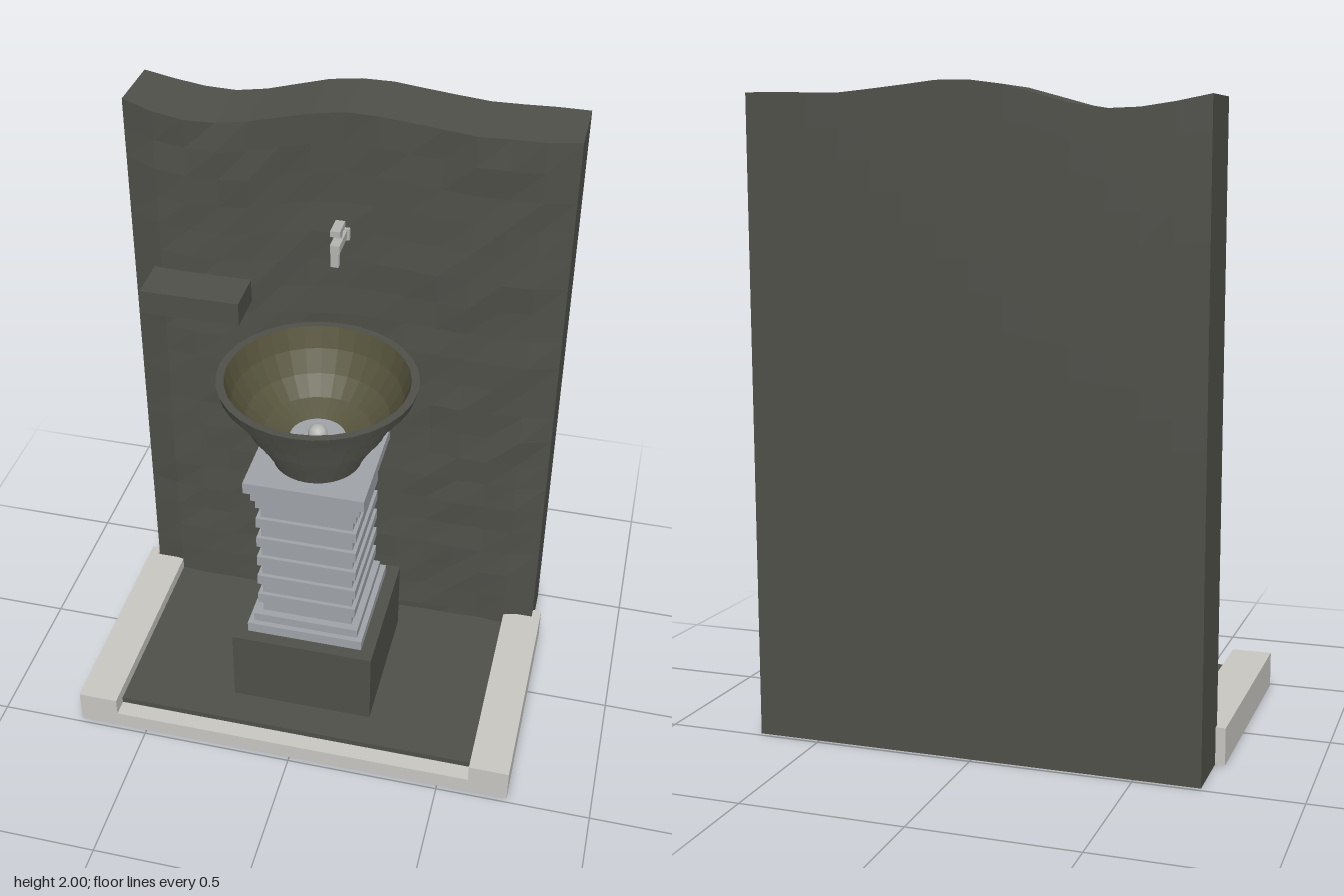
import * as THREE from 'three';

const mat = (name, color, side = THREE.FrontSide) => {
  const m = new THREE.MeshStandardMaterial({ color, side });
  m.name = name;
  return m;
};

// Faceted copy of a geometry
function facet(geo) {
  const g = geo.toNonIndexed();
  g.computeVertexNormals();
  return g;
}

export function createModel() {
  const root = new THREE.Group();
  root.name = 'wallFountain';
  const stone = mat('dark stone', 0x50504a);
  const kerb = mat('pale kerb stone', 0xc8c7c2);
  const slate = mat('grey slate', 0xa0a4a9);
  const glaze = mat('olive glaze', 0x56543c);
  const metal = mat('tap metal', 0xb4b4b2);

  const add = (parent, name, geo, material) => {
    const m = new THREE.Mesh(geo, material);
    m.name = name;
    parent.add(m);
    return m;
  };
  // Box given by its limits on each axis
  const box = (parent, name, material, [x0, x1], [y0, y1], [z0, z1]) => {
    const m = add(parent, name, new THREE.BoxGeometry(x1 - x0, y1 - y0, z1 - z0), material);
    m.position.set((x0 + x1) / 2, (y0 + y1) / 2, (z0 + z1) / 2);
    return m;
  };

  // Wall: a subdivided block with a wavy top and an uneven front face
  const wave = new THREE.CatmullRomCurve3([
    [-0.7, 1.95], [-0.56, 1.925], [-0.42, 1.913], [-0.28, 1.935], [-0.1, 1.985],
    [0.06, 2.0], [0.22, 1.985], [0.42, 1.967], [0.56, 1.972], [0.7, 1.972],
  ].map(([x, y]) => new THREE.Vector3(x, y, 0)));
  const samples = wave.getPoints(300);
  const topAt = (x) => samples.reduce((a, b) => (Math.abs(b.x - x) < Math.abs(a.x - x) ? b : a)).y;
  const noise = (i, j) => {
    const s = Math.sin(i * 127.1 + j * 311.7) * 43758.5453;
    return s - Math.floor(s);
  };
  const wallGeo = new THREE.BoxGeometry(1.4, 1, 0.24, 14, 20, 1);
  const p = wallGeo.attributes.position;
  for (let k = 0; k < p.count; k++) {
    const x = p.getX(k);
    const v = p.getY(k) + 0.5;
    const i = Math.round((x + 0.7) * 10);
    const j = Math.round(v * 20);
    const edge = i === 0 || i === 14;
    const front = edge ? -0.272 : -0.252 + 0.011 * noise(i, j);
    p.setXYZ(k, x, v * topAt(x), p.getZ(k) > 0 ? front : -0.485);
  }
  add(root, 'wall', facet(wallGeo), stone);

  // Basin floor and kerbs
  box(root, 'floor', stone, [-0.6, 0.6], [0, 0.075], [-0.26, 0.43]);
  box(root, 'frontKerb', kerb, [-0.6, 0.6], [0, 0.055], [0.43, 0.485]);
  for (const s of [1, -1]) {
    const span = (a, b) => (s > 0 ? [a, b] : [-b, -a]);
    const side = s > 0 ? 'left' : 'right';
    box(root, side + 'Kerb', kerb, span(0.6, 0.73), [0, 0.115], [-0.255, 0.485]);
    box(root, side + 'KerbEnd', kerb, span(0.7, 0.73), [0, 0.115], [-0.29, -0.255]);
  }

  // Pedestal: plinth and stacked slabs
  const pedestal = new THREE.Group();
  pedestal.name = 'pedestal';
  pedestal.position.z = 0.08;
  root.add(pedestal);
  const slab = (name, material, r, y0, y1) =>
    box(pedestal, name, material, [-r, r], [y0, y1], [-r, r]);
  slab('plinth', stone, 0.235, 0.075, 0.34);
  slab('footSlab', slate, 0.193, 0.34, 0.376);
  slab('footStep', slate, 0.175, 0.376, 0.407);
  const pitch = 0.0808;
  for (let n = 0; n < 6; n++) {
    const y = 0.407 + n * pitch;
    slab('narrowSlab', slate, 0.15, y, y + 0.044);
    slab('wideSlab', slate, 0.163, y + 0.044, y + pitch);
  }
  slab('capStep', slate, 0.175, 0.892, 0.933);
  slab('capSlab', slate, 0.193, 0.933, 0.972);

  // Bowl: stepped outside, glazed inside, drain in the middle
  const bowl = new THREE.Group();
  bowl.name = 'bowl';
  bowl.position.z = 0.08;
  root.add(bowl);
  const lathe = (pts) => facet(new THREE.LatheGeometry(pts.map(([r, y]) => new THREE.Vector2(r, y)), 32));
  const radii = [0.152, 0.172, 0.197, 0.226, 0.252, 0.281, 0.312];
  const levels = [0.972, 1.015, 1.057, 1.1, 1.15, 1.193, 1.235, 1.27];
  const outer = [[0, 0.972]];
  radii.forEach((r, n) => outer.push([r - 0.01, levels[n]], [r, levels[n + 1]]));
  outer.push([0.287, 1.27]);
  add(bowl, 'bowlOutside', lathe(outer), stone);
  add(bowl, 'bowlInside',
    lathe([[0.287, 1.27], [0.265, 1.2], [0.225, 1.13], [0.17, 1.075], [0.085, 1.04], [0, 1.04]]), glaze);
  const drain = add(bowl, 'drainPlate', new THREE.CylinderGeometry(0.088, 0.088, 0.02, 32), slate);
  drain.position.y = 1.04;
  const ball = add(bowl, 'drainBall', new THREE.SphereGeometry(0.031, 20, 14), metal);
  ball.position.y = 1.06;

  // Shelf with its bracket
  box(root, 'shelf', stone, [-0.625, -0.3], [1.3, 1.38], [-0.26, -0.095]);
  box(root, 'shelfBracket', stone, [-0.58, -0.34], [1.25, 1.3], [-0.26, -0.17]);

  // Tap
  const tap = new THREE.Group();
  tap.name = 'tap';
  root.add(tap);
  box(tap, 'tapPipe', metal, [-0.015, 0.015], [1.582, 1.61], [-0.26, -0.135]);
  box(tap, 'tapSpout', metal, [-0.012, 0.012], [1.535, 1.59], [-0.157, -0.135]);
  box(tap, 'tapCollar', metal, [-0.023, 0.023], [1.575, 1.615], [-0.25, -0.235]);
  box(tap, 'tapStem', metal, [-0.009, 0.009], [1.6, 1.64], [-0.203, -0.182]);
  box(tap, 'tapHandle', metal, [-0.015, 0.015], [1.637, 1.657], [-0.21, -0.14]);

  return root;
}
